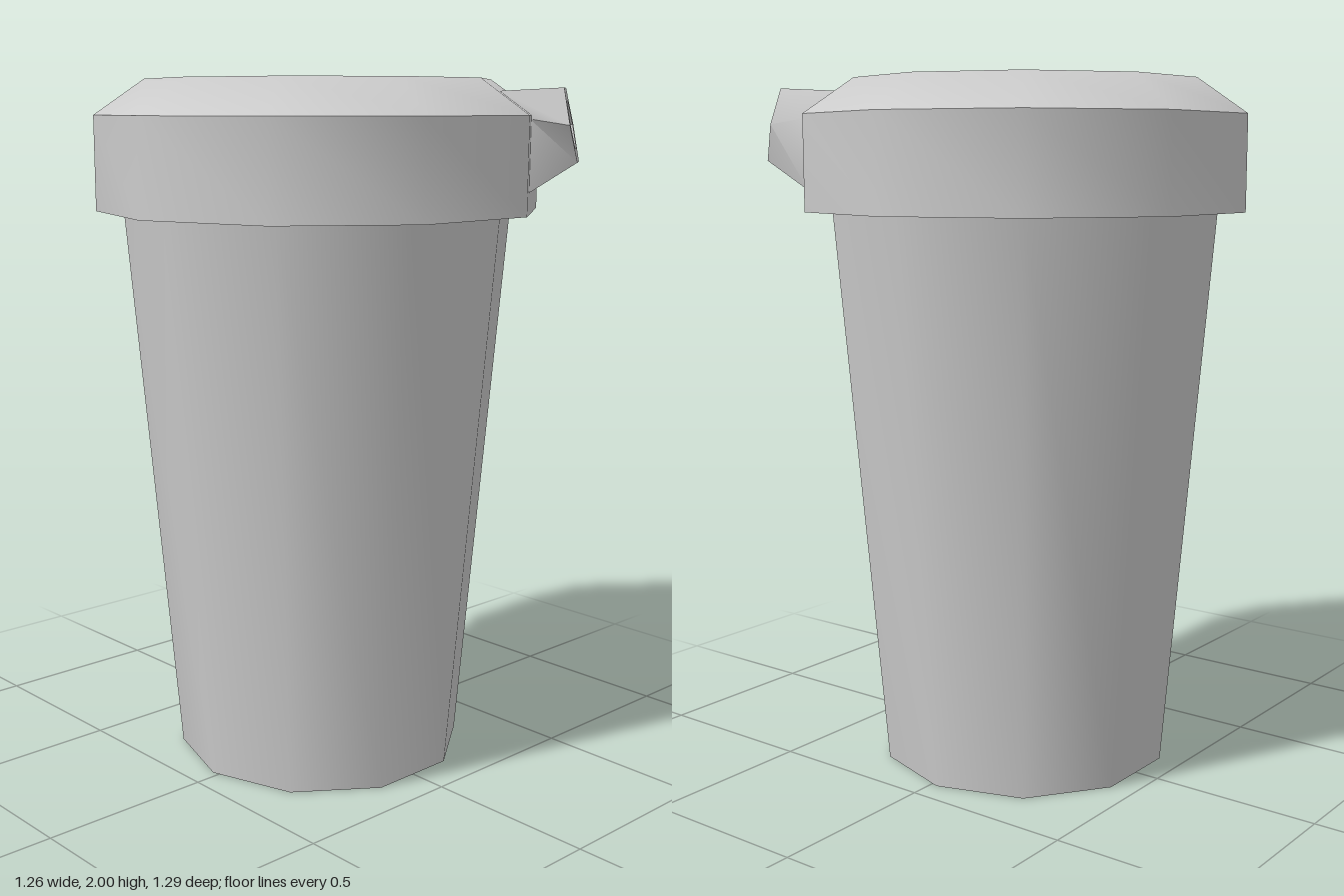
import * as THREE from 'three';
import { toCreasedNormals } from 'three/addons/utils/BufferGeometryUtils.js';

const SIDES = 10, CREASE = 0.87, AXIS_X = -0.02;
const material = new THREE.MeshStandardMaterial({ color: 0xcccccc });

function addPart(group, name, geometry) {
  const mesh = new THREE.Mesh(toCreasedNormals(geometry, CREASE), material);
  mesh.name = name;
  group.add(mesh);
  return mesh;
}

const lathe = (profile) =>
  new THREE.LatheGeometry(profile.map(([r, y]) => new THREE.Vector2(r, y)), SIDES);

// Joins rings of equal length into a skin, closed by a centre point
function loft(rings, end) {
  const n = rings[0].length, index = [];
  const positions = [...rings.flat(2), ...end];
  for (let k = 0; k < rings.length; k++) {
    for (let j = 0; j < n; j++) {
      const a = k * n + j, b = k * n + (j + 1) % n;
      if (k < rings.length - 1) index.push(a, b, b + n, a, b + n, a + n);
      else index.push(a, b, rings.length * n);
    }
  }
  const geometry = new THREE.BufferGeometry();
  geometry.setAttribute('position', new THREE.Float32BufferAttribute(positions, 3));
  geometry.setIndex(index);
  return geometry;
}

// Spout frame: s runs sideways, d runs outward through the middle of one lid facet
const ANGLE = Math.PI / 5, C = Math.cos(ANGLE), S = Math.sin(ANGLE);
const place = ([s, y, d]) => [C * d - S * s, y, -S * d - C * s];

// Hexagonal ring in the slightly raised plane of the spout mouth
function mouthRing(radius, depth) {
  return Array.from({ length: 6 }, (_, i) => {
    const a = (i * Math.PI) / 3, up = radius * Math.sin(a);
    return place([radius * Math.cos(a), 1.873 + up, 0.717 - 0.21 * up - depth]);
  });
}

export function createModel() {
  const model = new THREE.Group();
  const cup = new THREE.Group();
  cup.name = 'cup';
  cup.position.x = AXIS_X;
  model.add(cup);

  // Hollow tapered body, open underneath
  addPart(cup, 'body', lathe([
    [0, 1.85], [0.5, 1.85], [0.355, 0], [0.427, 0], [0.567, 1.64],
  ]));

  // Lid with bevelled shoulder and dished top
  addPart(cup, 'lid', lathe([
    [0.55, 1.63], [0.645, 1.63], [0.645, 1.9], [0.5, 2], [0.25, 1.957],
  ]));

  // Flat disc in the middle of the lid
  addPart(cup, 'lidCentre', lathe([[0.25, 1.957], [0, 1.957]]));

  // Spout rising from a broad base on the lid to a hexagonal mouth
  const base = [
    [0.14, 1.89, 0.61], [0.114, 1.965, 0.524], [-0.114, 1.965, 0.524],
    [-0.14, 1.89, 0.61], [-0.148, 1.69, 0.61], [0.148, 1.69, 0.61],
  ].map(place);
  addPart(cup, 'spout', loft(
    [base, mouthRing(0.117, 0), mouthRing(0.075, 0), mouthRing(0.06, 0.06)],
    place([0, 1.873, 0.657]),
  ));

  return model;
}
